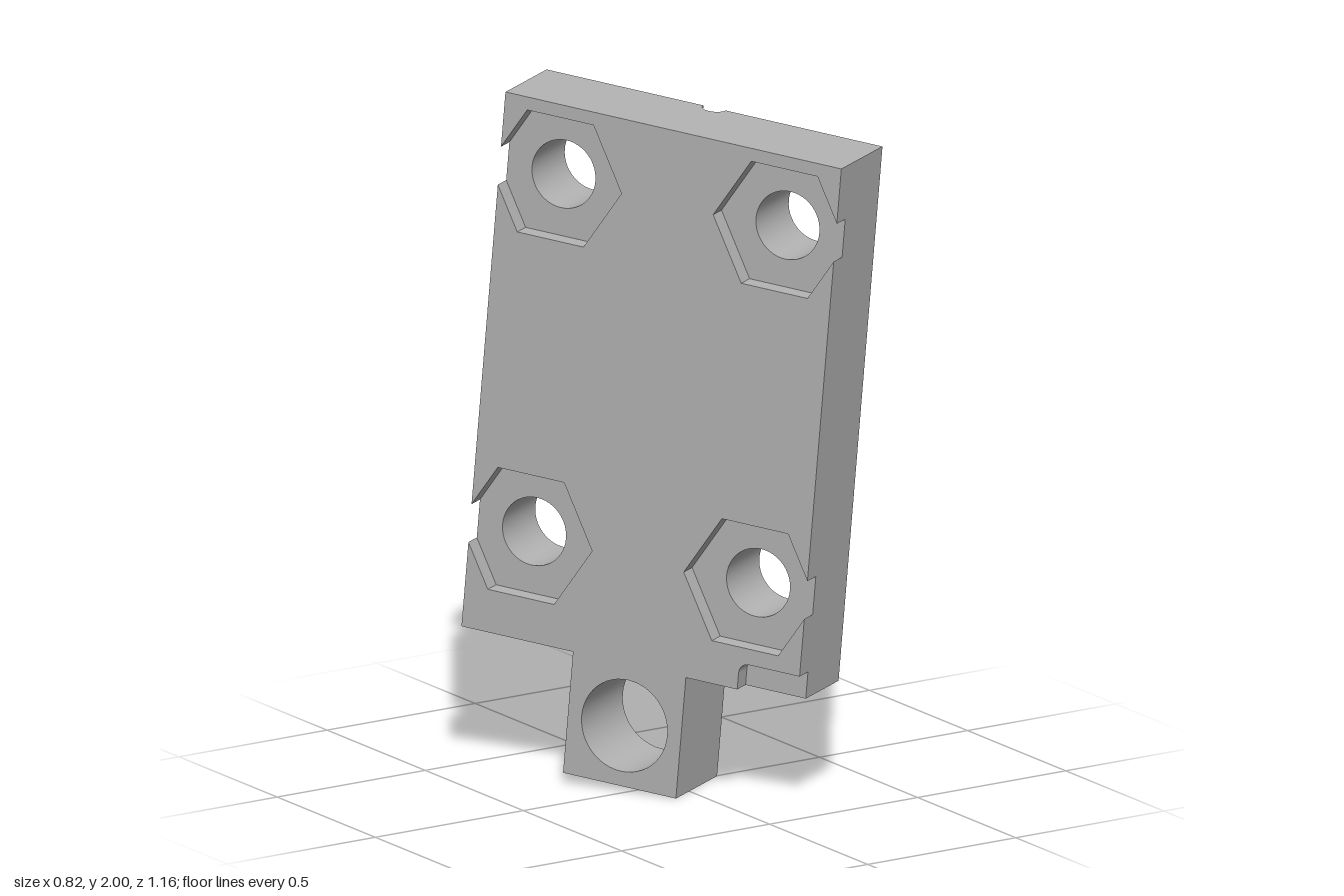
import * as THREE from 'three';

const BACK = -0.13, FLOOR = -0.077, FRONT = 0.13;   // plate depth levels
const W = 0.53, TOP = 0.957, BOTTOM = -0.629;       // plate half width and ends
const TAB_W = 0.178, TAB_END = -0.988, TAB_HOLE = [0, -0.81, 0.135];
const HOLE_X = 0.3535, HOLE_YS = [0.738, -0.323], HOLE_R = 0.1;
const HEX_R = 0.209, GROOVE_R = 0.035;

const v2 = ([x, y]) => new THREE.Vector2(x, y);

// flat face from a contour and round holes, at depth z
function face(points, holes, z) {
  const shape = new THREE.Shape(points.map(v2));
  for (const [x, y, r] of holes) {
    shape.holes.push(new THREE.Path().absarc(x, y, r, 0, Math.PI * 2, true));
  }
  return new THREE.ShapeGeometry(shape, 24).translate(0, 0, z);
}

// straight walls along an open line of points, from depth z0 to z1
function walls(points, z0, z1) {
  const pos = [];
  for (let i = 0; i < points.length - 1; i++) {
    const [a, b] = points[i], [c, d] = points[i + 1];
    pos.push(a, b, z0, a, b, z1, c, d, z1, a, b, z0, c, d, z1, c, d, z0);
  }
  const g = new THREE.BufferGeometry();
  g.setAttribute('position', new THREE.Float32BufferAttribute(pos, 3));
  g.computeVertexNormals();
  return g;
}

// hexagon cut off by the plate edge; side is 1 or -1, listed from top to bottom
function hexPocket(side, cy) {
  const cx = HOLE_X, h = HEX_R * Math.sqrt(3) / 2;
  const cut = (HEX_R - (W - HOLE_X)) * Math.sqrt(3);
  return [[W, cy + cut], [cx + HEX_R / 2, cy + h], [cx - HEX_R / 2, cy + h], [cx - HEX_R, cy],
    [cx - HEX_R / 2, cy - h], [cx + HEX_R / 2, cy - h], [W, cy - cut]].map(([x, y]) => [x * side, y]);
}

// quarter arc as points
function arc(cx, cy, r, a0, a1, n = 6) {
  return Array.from({ length: n + 1 }, (_, i) => {
    const a = a0 + (a1 - a0) * i / n;
    return [cx + r * Math.cos(a), cy + r * Math.sin(a)];
  });
}

export function createModel() {
  const model = new THREE.Group();
  const plate = new THREE.Group();
  plate.name = 'mountingPlate';
  const grey = new THREE.MeshStandardMaterial({ color: 0xb2b2b2, side: THREE.DoubleSide });
  grey.name = 'plainGrey';
  const add = (name, geometry) => {
    const mesh = new THREE.Mesh(geometry, grey);
    mesh.name = name;
    plate.add(mesh);
  };

  // contours run from top right, down, around the tab, up to top left
  const tab = [[TAB_W, BOTTOM], [TAB_W, TAB_END], [-TAB_W, TAB_END], [-TAB_W, BOTTOM]];
  const outline = [[W, TOP], [W, BOTTOM], ...tab, [-W, BOTTOM], [-W, TOP]];
  const notch = [[-0.34, BOTTOM], ...arc(-0.37, -0.58, 0.03, 0, Math.PI / 2), [-W, -0.55]];
  const backOutline = [
    [W, TOP], ...HOLE_YS.flatMap(y => hexPocket(1, y)), [W, BOTTOM], ...tab, ...notch,
    ...[...HOLE_YS].reverse().flatMap(y => hexPocket(-1, y).reverse()), [-W, TOP],
  ];

  // half-round pocket profile, top to bottom, with filleted ends
  const profile = [[GROOVE_R, 0.617], [0.143, 0.617],
    ...arc(0.145, 0.582, 0.035, Math.PI / 2, 0), [0.18, 0.578], [0.18, 0.089],
    ...arc(0.145, 0.085, 0.035, 0, -Math.PI / 2), [0.143, 0.05], [0, 0.05]];
  const opening = [[-GROOVE_R, TOP], ...profile.map(([x, y]) => [-x, y]),
    ...profile.slice(0, -1).reverse(), [GROOVE_R, TOP]];

  const screwHoles = [1, -1].flatMap(s => HOLE_YS.map(y => [s * HOLE_X, y, HOLE_R]));

  // outer skin
  add('outerWalls', walls(outline, FLOOR, FRONT));
  add('backRimWalls', walls(backOutline, BACK, FLOOR));
  add('backFace', face(backOutline, [TAB_HOLE], BACK));
  add('frontFace', face([...outline, ...opening], [...screwHoles, TAB_HOLE], FRONT));

  // top end with the groove mouth
  const mouth = arc(0, -FRONT, GROOVE_R, Math.PI, 0, 16);
  const topEnd = face([[-W, -FRONT], ...mouth, [W, -FRONT], [W, -BACK], [-W, -BACK]], [], 0);
  add('topEnd', topEnd.rotateX(-Math.PI / 2).translate(0, TOP, 0));

  // nut pocket floors and corner notch floor
  for (const s of [1, -1]) {
    for (const y of HOLE_YS) {
      add('nutPocketFloor', face(hexPocket(s, y), [[s * HOLE_X, y, HOLE_R]], FLOOR));
    }
  }
  add('cornerNotchFloor', face([...notch, [-W, BOTTOM]], [], FLOOR));

  // bores
  const bore = (name, [x, y, r], z0) => add(name,
    new THREE.CylinderGeometry(r, r, FRONT - z0, 48, 1, true)
      .rotateX(Math.PI / 2).translate(x, y, (FRONT + z0) / 2));
  screwHoles.forEach(h => bore('screwHole', h, FLOOR));
  bore('tabHole', TAB_HOLE, BACK);

  // half-round pocket and its wire groove
  add('roundPocket', new THREE.LatheGeometry(profile.map(v2), 32, Math.PI / 2, Math.PI)
    .translate(0, 0, FRONT));
  add('wireGroove', new THREE.CylinderGeometry(GROOVE_R, GROOVE_R, TOP - 0.617, 16, 1, true, Math.PI / 2, Math.PI)
    .translate(0, (TOP + 0.617) / 2, FRONT));

  // the plate stands turned and slightly tilted
  for (const mesh of plate.children) mesh.position.x = 0.0125;
  plate.rotation.set(0, Math.PI * 2 / 3, THREE.MathUtils.degToRad(5));
  plate.position.y = 0.999;
  model.add(plate);
  return model;
}
